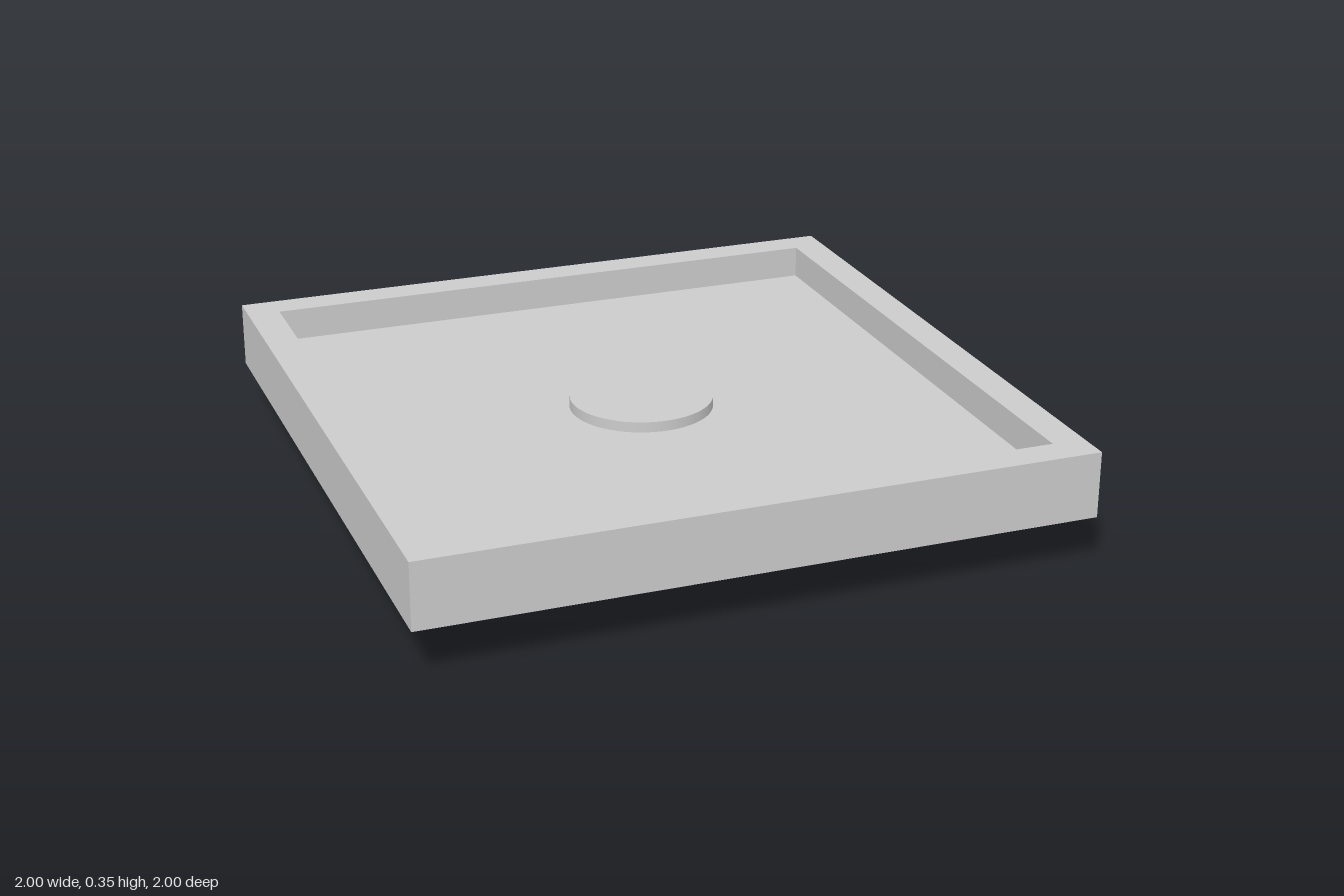
import * as THREE from 'three';

const material = new THREE.MeshStandardMaterial({ color: 0xcccccc });

function square(PathType, h) {
  return new PathType([[-h, -h], [h, -h], [h, h], [-h, h]].map(([x, y]) => new THREE.Vector2(x, y)));
}

export function createModel() {
  const group = new THREE.Group();
  const add = (name, geometry, y) => {
    const mesh = new THREE.Mesh(geometry, material);
    mesh.name = name;
    mesh.position.y = y;
    group.add(mesh);
  };

  const bottom = 0.155, floorTop = 0.255, rimTop = 0.355;
  const inner = 0.9, hubTop = 0.287, hubRadius = 0.217;

  // Square rim with the tray recess cut through it
  const outline = square(THREE.Shape, 1);
  outline.holes.push(square(THREE.Path, inner));
  const rim = new THREE.ExtrudeGeometry(outline, { depth: rimTop - bottom, bevelEnabled: false });
  rim.rotateX(-Math.PI / 2);
  add('trayRim', rim, bottom);

  // Floor filling the lower half of the recess
  add('trayFloor', new THREE.BoxGeometry(inner * 2, floorTop - bottom, inner * 2), (floorTop + bottom) / 2);

  // Round hub passing through the floor, standing slightly proud above it
  add('hub', new THREE.CylinderGeometry(hubRadius, hubRadius, hubTop, 64), hubTop / 2);

  return group;
}
